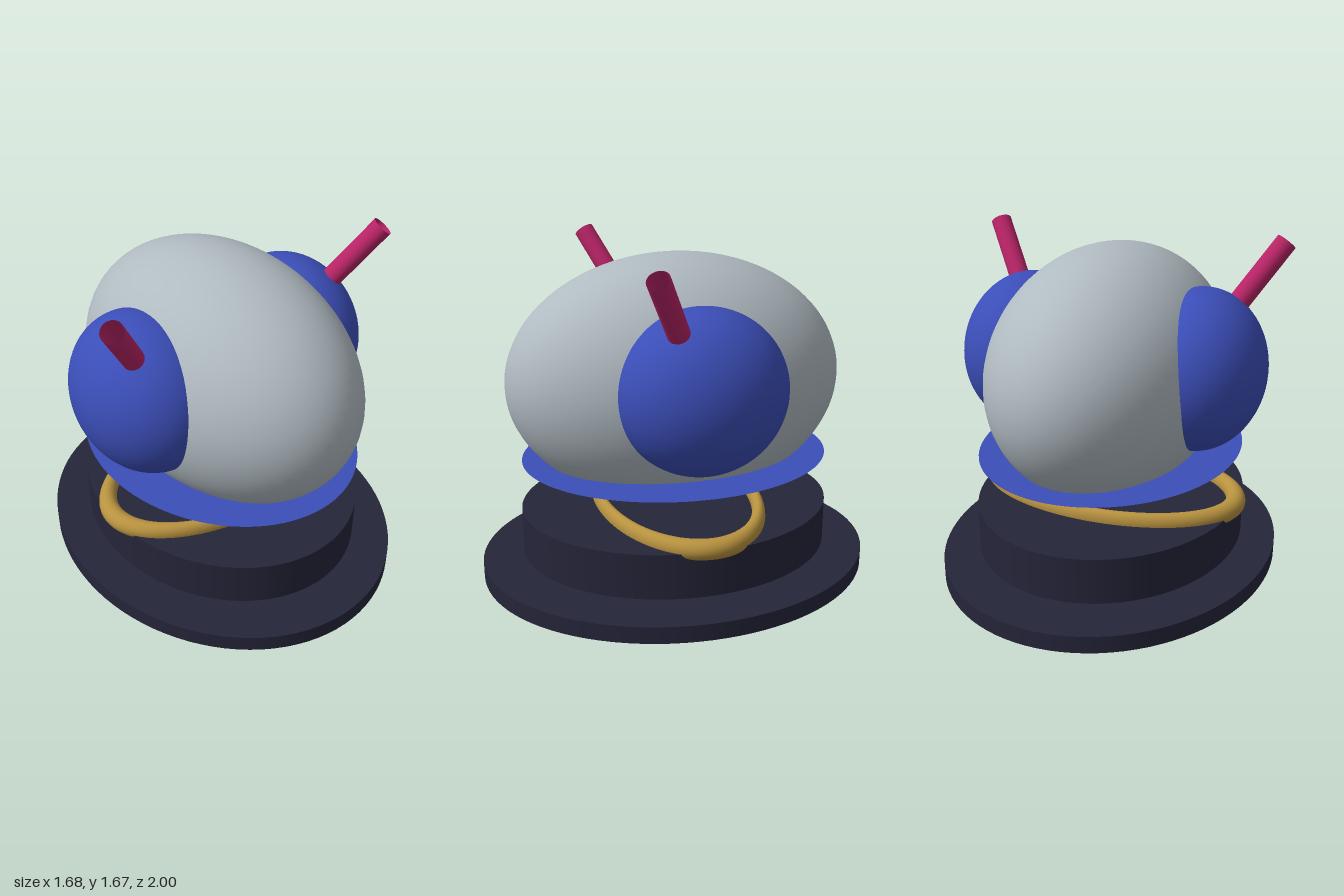
import * as THREE from 'three';

const material = (name, color, side = THREE.FrontSide) => {
  const m = new THREE.MeshStandardMaterial({ color, side });
  m.name = name;
  return m;
};

export function createModel() {
  const group = new THREE.Group();
  const dark = material('dark navy', 0x25253a);
  const grey = material('pale grey', 0xb0bac1);
  const blue = material('blue', 0x3b4eb8);
  const gold = material('gold', 0xb8923f);
  const pink = material('magenta', 0xb82466, THREE.DoubleSide);

  const add = (name, geometry, mat) => {
    const mesh = new THREE.Mesh(geometry, mat);
    mesh.name = name;
    group.add(mesh);
    return mesh;
  };

  // Oval disc or frustum between two heights, stretched along z
  const oval = (name, top, bottom, y0, y1, stretch, mat) => {
    const geo = new THREE.CylinderGeometry(top, bottom, y1 - y0, 96);
    geo.scale(1, 1, stretch);
    geo.translate(0, (y0 + y1) / 2, 0);
    return add(name, geo, mat);
  };

  const ellipsoid = (name, rx, ry, rz, x, y, z, mat) => {
    const geo = new THREE.SphereGeometry(1, 64, 48);
    geo.scale(rx, ry, rz);
    geo.translate(x, y, z);
    return add(name, geo, mat);
  };

  // Stand
  oval('basePlate', 0.84, 0.84, 0, 0.085, 1.19, dark);
  oval('drum', 0.665, 0.665, 0.122, 0.35, 1.19, dark);

  // Flattened ring resting on the drum
  const ring = new THREE.TorusGeometry(0.655, 0.05, 20, 96);
  ring.rotateX(Math.PI / 2);
  ring.scale(1, 1, 0.6);
  ring.translate(0, 0.36, 0);
  add('ring', ring, gold);

  // Collar flaring out around the lower body
  oval('collar', 0.65, 0.228, 0.47, 0.605, 1.2, blue);

  // Main body
  ellipsoid('body', 0.562, 0.62, 0.845, 0, 1, 0, grey);

  // Side domes with their open tubes
  for (const [side, label] of [[1, 'left'], [-1, 'right']]) {
    ellipsoid(label + 'Dome', 0.325, 0.395, 0.407, side * 0.45, 1.05, 0, blue);
    const path = new THREE.LineCurve3(
      new THREE.Vector3(side * 0.59, 1.36, 0.153),
      new THREE.Vector3(side * 0.77, 1.637, 0.293)
    );
    add(label + 'Tube', new THREE.TubeGeometry(path, 1, 0.052, 24), pink);
  }

  return group;
}
